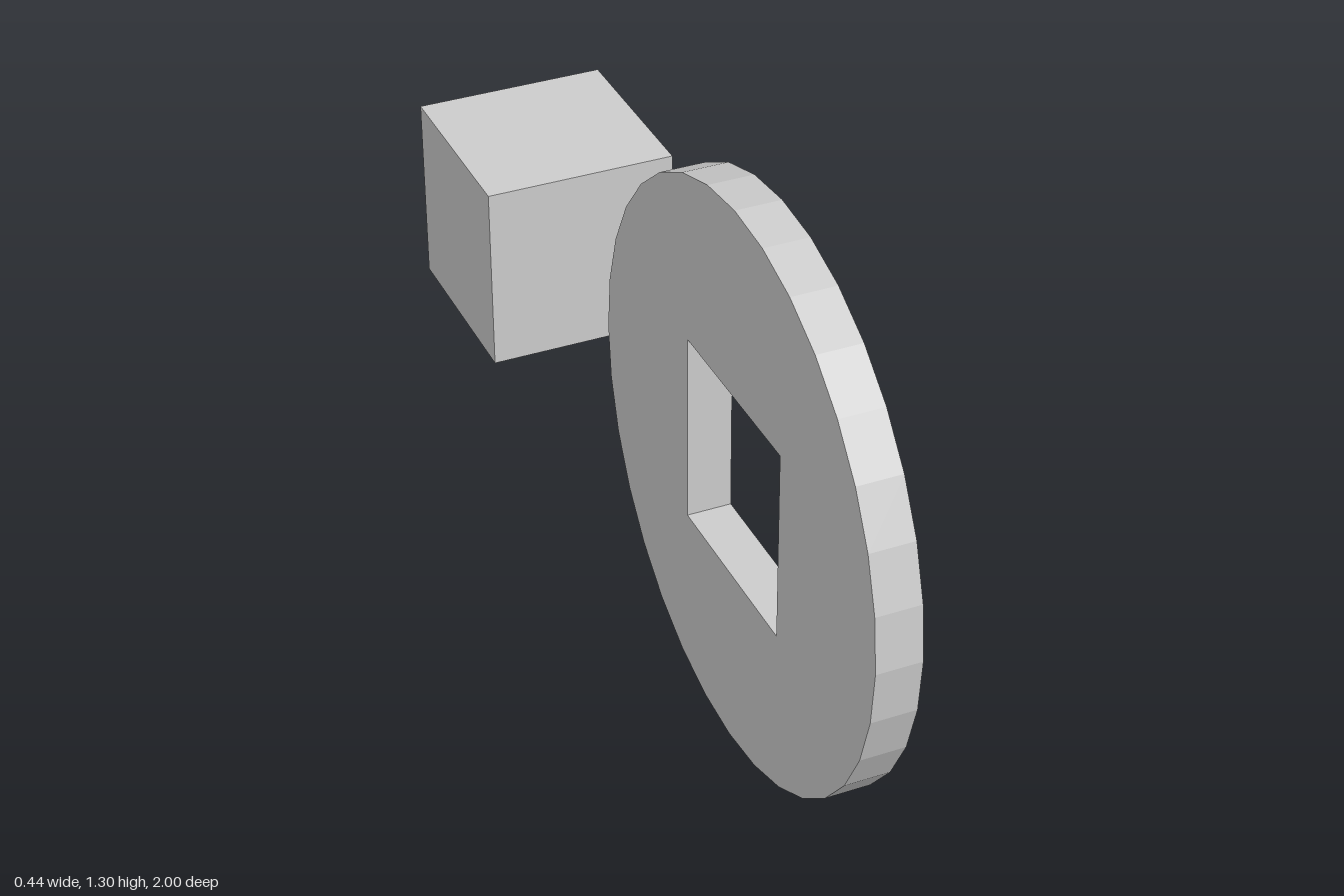
import * as THREE from 'three';

const CENTRE_Y = 0.648;

// Closed outline of a regular polygon
function polygon(radius, sides, startAngle) {
  return Array.from({ length: sides }, (_, i) => {
    const a = startAngle + (i / sides) * Math.PI * 2;
    return new THREE.Vector2(Math.cos(a) * radius, Math.sin(a) * radius);
  });
}

export function createModel() {
  const group = new THREE.Group();
  const material = new THREE.MeshStandardMaterial({ color: 0xcccccc, flatShading: true });

  // Upright 32-sided disc with a square hole through its middle
  const thickness = 0.1;
  const outline = new THREE.Shape(polygon(0.648, 32, 0));
  outline.holes.push(new THREE.Path(polygon(0.221 * Math.SQRT2, 4, Math.PI / 4).reverse()));
  const discGeometry = new THREE.ExtrudeGeometry(outline, { depth: thickness, bevelEnabled: false });
  discGeometry.translate(0, 0, -thickness / 2).rotateY(-Math.PI / 2);
  const disc = new THREE.Mesh(discGeometry, material);
  disc.name = 'discWithSquareHole';
  disc.position.set(0, CENTRE_Y, 0.352);
  group.add(disc);

  // Cube behind the disc, in line with the hole's height
  const size = 0.436;
  const cube = new THREE.Mesh(new THREE.BoxGeometry(size, size, size), material);
  cube.name = 'cube';
  cube.position.set(0, CENTRE_Y, -1 + size / 2);
  group.add(cube);

  return group;
}
